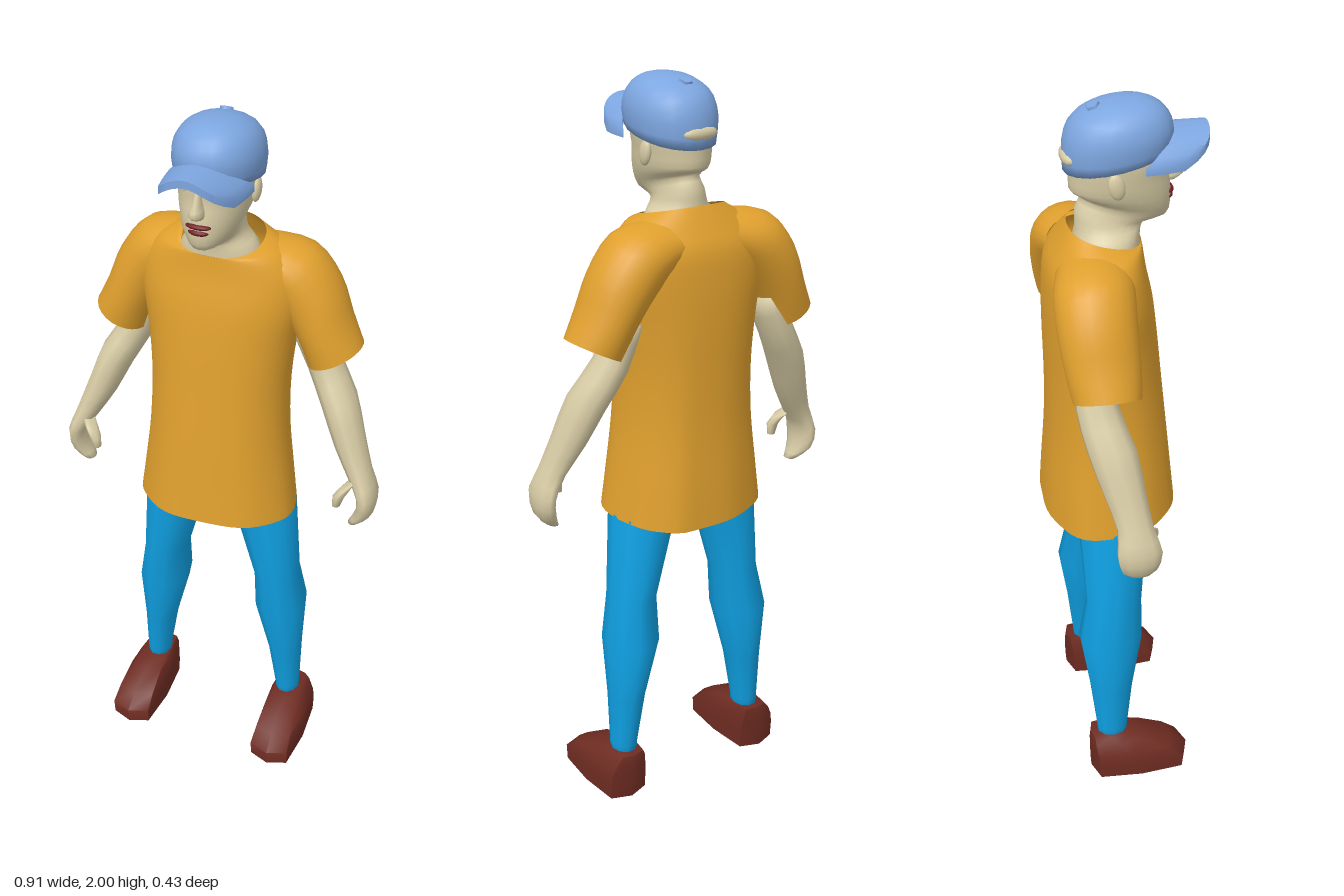
import * as THREE from 'three';
import { toCreasedNormals } from 'three/addons/utils/BufferGeometryUtils.js';

const mat = (name, color, side = THREE.FrontSide) => {
  const m = new THREE.MeshStandardMaterial({ color, side });
  m.name = name;
  return m;
};

// Catmull-Rom blend of neighbouring rings, n steps per span
function refine(rings, n) {
  const out = [], at = i => rings[Math.min(Math.max(i, 0), rings.length - 1)];
  for (let i = 0; i < rings.length - 1; i++) {
    for (let k = 0; k < n; k++) {
      const t = k / n, [a, b, c, d] = [at(i - 1), at(i), at(i + 1), at(i + 2)];
      out.push([0, 1, 2, 3, 4, 5, 6].map(j => {
        const [p, q, r, s] = [a, b, c, d].map(v => v[j] ?? 0);
        return q + 0.5 * t * (r - p + t * (2 * p - 5 * q + 4 * r - s + t * (3 * (q - r) + s - p)));
      }));
    }
  }
  out.push(at(rings.length));
  return out;
}

// Skin over rings listed bottom to top: [x, y, z, halfWidth, halfDepth, roll, pitch]
function loft(rings, { sides = 10, power = 1, steps = 1, open = false, ripple = null } = {}) {
  const rs = refine(rings, steps), pos = [], idx = [];
  const pw = v => Math.sign(v) * Math.abs(v) ** power;
  rs.forEach(([x, y, z, a, b, roll = 0, pitch = 0]) => {
    for (let j = 0; j < sides; j++) {
      const f = (j / sides) * Math.PI * 2, k = ripple ? ripple(f, y) : 1;
      const u = pw(Math.cos(f)) * a * k, w = pw(Math.sin(f));
      pos.push(x + u * Math.cos(roll), y + u * Math.sin(roll) + w * pitch, z + w * b * k);
    }
  });
  for (let i = 0; i < rs.length - 1; i++) {
    for (let j = 0; j < sides; j++) {
      const a = i * sides + j, c = i * sides + (j + 1) % sides;
      idx.push(a, a + sides, c, c, a + sides, c + sides);
    }
  }
  if (!open) {
    const top = (rs.length - 1) * sides, n = rs.length * sides;
    pos.push(...rs[0].slice(0, 3), ...rs[rs.length - 1].slice(0, 3));
    for (let j = 0; j < sides; j++) {
      const k = (j + 1) % sides;
      idx.push(n, j, k, n + 1, top + k, top + j);
    }
  }
  const g = new THREE.BufferGeometry();
  g.setAttribute('position', new THREE.Float32BufferAttribute(pos, 3));
  g.setIndex(idx);
  g.computeVertexNormals();
  return g;
}

const mirror = (rings, s) => rings.map(([x, y, z, a, b, roll = 0, pitch = 0]) => [s * x, y, z, a, b, s * roll, pitch]);

export function createModel() {
  const model = new THREE.Group();
  const skin = mat('skin', 0xd9cda6), shirt = mat('shirt orange', 0xe0a02e, THREE.DoubleSide);
  const blue = mat('trouser blue', 0x0fa0e2), brown = mat('shoe brown', 0x6e2c22);
  const capBlue = mat('cap blue', 0x7da6e0), lipRed = mat('lip red', 0x701f22), white = mat('eye white', 0xe4dcc6);
  const add = (name, geo, material) => {
    const m = new THREE.Mesh(geo, material);
    m.name = name;
    model.add(m);
    return m;
  };
  const blob = (name, material, p, r) => {
    const m = add(name, new THREE.SphereGeometry(1, 14, 10), material);
    m.position.set(...p);
    m.scale.set(...r);
    return m;
  };

  // Head and neck
  add('head', loft([
    [0, 1.56, -0.035, 0.12, 0.085], [0, 1.645, -0.032, 0.1, 0.084], [0, 1.675, -0.027, 0.07, 0.084],
    [0.003, 1.705, -0.02, 0.06, 0.09, 0, -0.02], [0.005, 1.725, 0.013, 0.06, 0.108, 0, -0.03],
    [0.005, 1.75, 0.01, 0.076, 0.122, 0, -0.018], [0.005, 1.78, 0.004, 0.086, 0.127],
    [0.005, 1.82, 0, 0.091, 0.124], [0.007, 1.86, 0, 0.095, 0.126],
    [0.008, 1.92, 0, 0.085, 0.112], [0.01, 1.96, 0, 0.05, 0.07],
  ], { sides: 24, steps: 2 }), skin);
  add('nose', loft([
    [0.005, 1.784, 0.126, 0.014, 0.018], [0.005, 1.798, 0.134, 0.019, 0.03],
    [0.005, 1.825, 0.127, 0.011, 0.023], [0.005, 1.865, 0.118, 0.008, 0.012],
  ], { sides: 10, steps: 2 }), skin);
  blob('upperLip', lipRed, [0.005, 1.761, 0.125], [0.033, 0.008, 0.014]);
  blob('lowerLip', lipRed, [0.005, 1.745, 0.123], [0.027, 0.009, 0.015]);
  for (const s of [1, -1]) {
    blob('eye', white, [0.005 + s * 0.04, 1.848, 0.108], [0.015, 0.007, 0.009]);
    blob('brow', skin, [0.005 + s * 0.04, 1.867, 0.106], [0.026, 0.008, 0.014]);
    blob('ear', skin, [0.006 + s * 0.092, 1.812, -0.02], [0.012, 0.034, 0.021]).rotation.x = -0.2;
  }

  // Cap: crown, curved brim, button, rear opening
  add('capCrown', loft([
    [0.01, 1.852, -0.002, 0.105, 0.134, 0, 0.026], [0.01, 1.9, 0, 0.112, 0.138, 0, 0.012],
    [0.01, 1.943, 0.006, 0.104, 0.127], [0.01, 1.973, 0.014, 0.084, 0.1],
    [0.01, 1.993, 0.022, 0.05, 0.058], [0.01, 1.999, 0.025, 0.015, 0.02],
  ], { sides: 20, steps: 2, power: 0.95 }), capBlue);
  const brim = new THREE.BoxGeometry(2, 1, 1, 14, 1, 5), bp = brim.attributes.position;
  for (let i = 0; i < bp.count; i++) {
    const u = bp.getX(i), v = bp.getZ(i) + 0.5;
    const root = 0.125 * Math.sqrt(1 - 0.85 * u * u), tip = 0.222 - 0.075 * u ** 4;
    bp.setXYZ(i, 0.01 + u * (0.108 - 0.012 * v * v),
      1.915 - 0.065 * u * u + bp.getY(i) * 0.02, root + (tip - root) * v);
  }
  add('capBrim', toCreasedNormals(brim, 0.8), capBlue);
  const button = add('capButton', new THREE.CylinderGeometry(0.017, 0.02, 0.014, 5), capBlue);
  button.position.set(0.004, 1.983, -0.06);
  button.rotation.x = -0.4;
  blob('capOpening', skin, [0.005, 1.866, -0.123], [0.052, 0.02, 0.021]);

  // Shirt body with soft folds and one rear crease growing toward the hem
  const folds = (f, y) => {
    const t = Math.max(0, (1.5 - y) / 0.65), crease = Math.exp(-(((f - 5.15) / 0.2) ** 2));
    return 1 + t * (0.012 * Math.sin(7 * f + 0.6) + 0.01 * Math.sin(4 * f) + 0.07 * crease);
  };
  add('shirtBody', loft([
    [0, 0.849, -0.033, 0.222, 0.177, 0, 0.016], [0, 0.95, -0.035, 0.209, 0.17, 0, 0.01],
    [0, 1.1, -0.037, 0.192, 0.159], [0, 1.25, -0.044, 0.188, 0.151], [0, 1.39, -0.052, 0.2, 0.145],
    [0, 1.5, -0.058, 0.218, 0.137], [0, 1.58, -0.062, 0.212, 0.124],
    [0, 1.637, -0.052, 0.168, 0.106], [0, 1.664, -0.038, 0.112, 0.092, 0, -0.022],
  ], { sides: 48, steps: 4, power: 0.88, open: true, ripple: folds }), shirt);
  blob('hips', skin, [0, 0.97, -0.04], [0.14, 0.09, 0.1]);

  for (const s of [1, -1]) {
    const side = s > 0 ? 'left' : 'right';
    const limb = (name, rings, material, opts) => add(side + name, loft(mirror(rings, s), opts), material);

    limb('Sleeve', [
      [0.302, 1.35, -0.085, 0.077, 0.086, 0.46], [0.27, 1.422, -0.09, 0.075, 0.095, 0.5],
      [0.228, 1.505, -0.095, 0.085, 0.1, 0.62], [0.165, 1.575, -0.092, 0.087, 0.102, 0.8],
      [0.08, 1.598, -0.08, 0.065, 0.092, 1.1],
    ], shirt, { sides: 24, steps: 3, open: true });

    // Arm with a closed hand and a separate thumb
    limb('Arm', [
      [0.4, 0.868, -0.02, 0.016, 0.022, 0.1], [0.425, 0.905, -0.028, 0.024, 0.047, 0],
      [0.43, 0.965, -0.028, 0.026, 0.06, 0.1], [0.403, 1.025, -0.035, 0.032, 0.048, 0.3],
      [0.363, 1.11, -0.055, 0.042, 0.055, 0.4], [0.322, 1.21, -0.078, 0.048, 0.063, 0.5],
      [0.264, 1.31, -0.105, 0.045, 0.055, 0.5], [0.22, 1.42, -0.1, 0.05, 0.055, 0.4],
    ], skin, { sides: 10, steps: 2 });
    limb('Thumb', [
      [0.357, 0.937, 0.018, 0.011, 0.012], [0.362, 0.968, 0.018, 0.016, 0.017],
      [0.378, 0.995, 0.008, 0.02, 0.021, 0.4], [0.4, 1.02, -0.015, 0.02, 0.022, 0.6],
    ], skin, { sides: 8 });

    limb('Leg', [
      [0.215, 0.1, -0.062, 0.034, 0.042], [0.214, 0.15, -0.062, 0.036, 0.045],
      [0.203, 0.3, -0.062, 0.049, 0.062], [0.185, 0.475, -0.06, 0.075, 0.091],
      [0.173, 0.6, -0.048, 0.065, 0.079], [0.131, 0.85, -0.043, 0.092, 0.097],
      [0.1, 0.93, -0.04, 0.088, 0.09],
    ], blue, { sides: 10 });

    // Shoe with a pointed toe and a sloping upper
    const shoe = loft(mirror([
      [0.229, 0, 0.015, 0.067, 0.143], [0.229, 0.045, 0.015, 0.068, 0.146],
      [0.228, 0.08, -0.008, 0.064, 0.123], [0.222, 0.115, -0.048, 0.052, 0.083],
      [0.218, 0.132, -0.072, 0.04, 0.055],
    ], s), { sides: 8, power: 0.46 });
    add(side + 'Shoe', toCreasedNormals(shoe, 1), brown);
  }
  return model;
}
